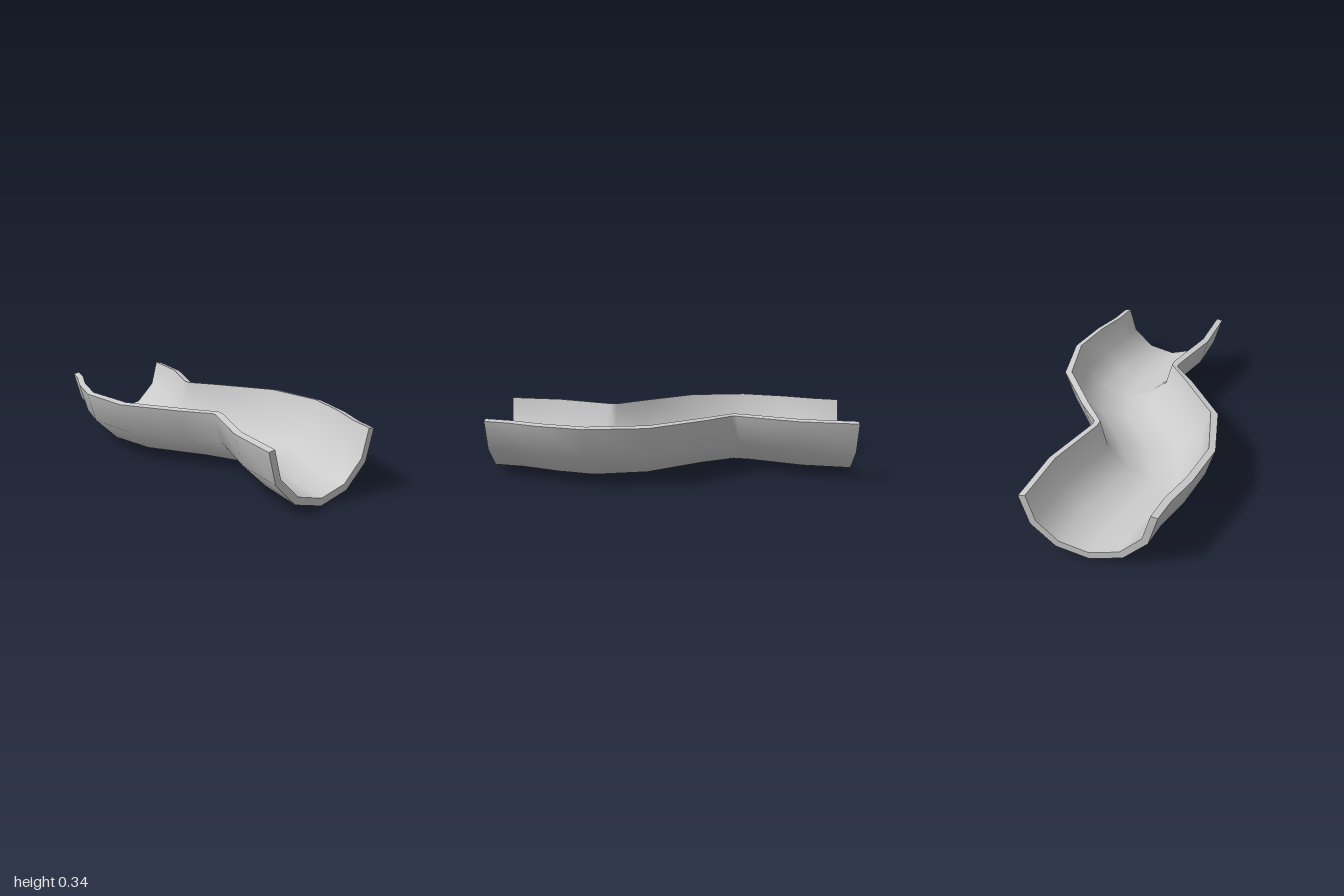
import * as THREE from 'three';

// Outer left rim corners (x, z); the right rim is the same line turned half a circle about y
const LEFT_EDGE = [
  [-0.335, -1], [-0.37, -0.87], [-0.44, -0.7], [-0.51, -0.44], [-0.473, -0.11],
  [-0.275, 0.19], [-0.163, 0.33], [-0.163, 0.36], [-0.29, 0.69], [-0.335, 1],
];
const RIGHT_EDGE = LEFT_EDGE.map(([x, z]) => [-x, -z]).reverse();
const SIDES = 6;

// Half-circle profiles: width relative to the outer rim, height of the rim, depth
const OUTER = { width: 1, top: 0.333, depth: 0.333 };
const INNER = { width: 0.895, top: 0.34, depth: 0.3 };

// One cross-section of the trough, from left rim through the bottom to right rim
function section(i, { width, top, depth }) {
  const [lx, lz] = LEFT_EDGE[i];
  const [rx, rz] = RIGHT_EDGE[i];
  return Array.from({ length: SIDES + 1 }, (_, j) => {
    const a = (j / SIDES) * Math.PI;
    const t = 0.5 - 0.5 * width * Math.cos(a);
    return new THREE.Vector3(lx + (rx - lx) * t, top - depth * Math.sin(a), lz + (rz - lz) * t);
  });
}

// Joins rows of points into a surface with smooth normals
function surface(name, rows) {
  const cols = rows[0].length;
  const index = [];
  for (let i = 0; i < rows.length - 1; i++) {
    for (let j = 0; j < cols - 1; j++) {
      const a = i * cols + j, b = a + cols;
      index.push(a, b, a + 1, b, b + 1, a + 1);
    }
  }
  const geometry = new THREE.BufferGeometry().setFromPoints(rows.flat());
  geometry.setIndex(index);
  geometry.computeVertexNormals();
  const mesh = new THREE.Mesh(geometry, new THREE.MeshStandardMaterial({ color: 0xcccccc }));
  mesh.name = name;
  return mesh;
}

export function createModel() {
  const group = new THREE.Group();
  group.name = 'windingTrough';
  const outer = LEFT_EDGE.map((_, i) => section(i, OUTER));
  const inner = LEFT_EDGE.map((_, i) => section(i, INNER));
  const last = LEFT_EDGE.length - 1;

  // Trough walls
  group.add(surface('innerWall', inner));
  group.add(surface('outerWall', outer.map((row) => [...row].reverse())));

  // Narrow rims along the top
  group.add(surface('leftRim', outer.map((row, i) => [row[0], inner[i][0]])));
  group.add(surface('rightRim', inner.map((row, i) => [row[SIDES], outer[i][SIDES]])));

  // End faces closing the wall thickness
  group.add(surface('backEnd', [outer[0], inner[0]]));
  group.add(surface('frontEnd', [inner[last], outer[last]]));
  return group;
}
